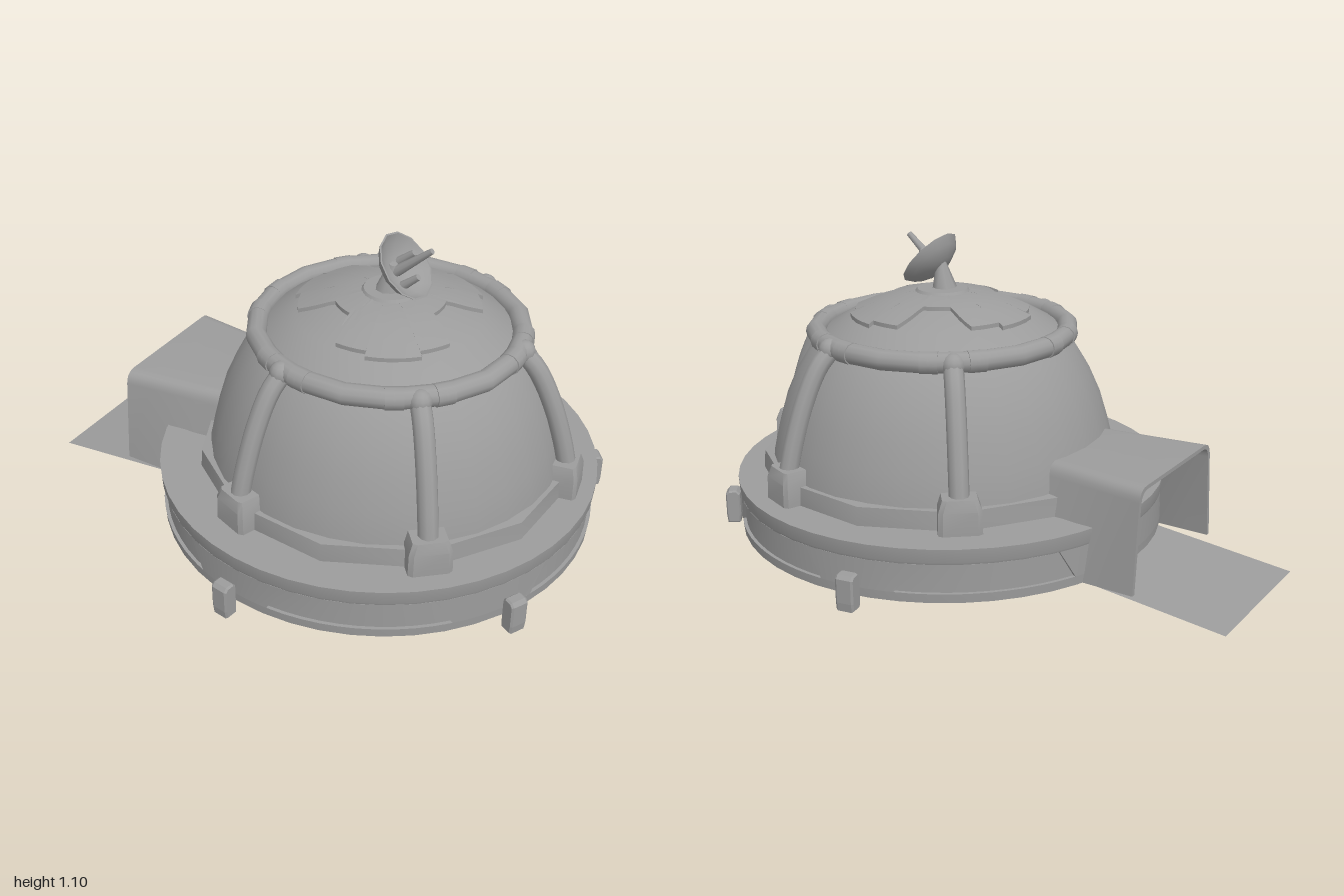
import * as THREE from 'three';
import { toCreasedNormals } from 'three/addons/utils/BufferGeometryUtils.js';

const grey = new THREE.MeshStandardMaterial({ color: 0x9c9c9c, side: THREE.DoubleSide });
const rad = THREE.MathUtils.degToRad, lerp = THREE.MathUtils.lerp;
const polar = (a, r, y) => [r * Math.cos(a), y, r * Math.sin(a)];

function add(parent, name, geometry, x = 0, y = 0, z = 0) {
  const mesh = new THREE.Mesh(geometry, grey);
  mesh.name = name;
  mesh.position.set(x, y, z);
  parent.add(mesh);
  return mesh;
}
const crease = (g, deg = 32) => toCreasedNormals(g, rad(deg));

// Grid surface from a rule f(i, j) that returns a point
function patch(nu, nv, f) {
  const pos = [], index = [];
  for (let i = 0; i <= nu; i++) for (let j = 0; j <= nv; j++) {
    pos.push(...f(i, j));
    if (i < nu && j < nv) {
      const k = i * (nv + 1) + j, m = k + nv + 1;
      index.push(k, k + 1, m, m, k + 1, m + 1);
    }
  }
  const g = new THREE.BufferGeometry();
  g.setAttribute('position', new THREE.Float32BufferAttribute(pos, 3));
  g.setIndex(index);
  return crease(g);
}
const lathe = (pts, n) => crease(new THREE.LatheGeometry(pts.map(p => new THREE.Vector2(...p)), n));

// Round platform with recessed trapezoid panels in its side
function buildBase() {
  const base = new THREE.Group();
  base.name = 'base';
  base.position.set(0.22, 0, -0.005);
  const R = 0.774, Y0 = 0.092, Y1 = 0.195, depth = 0.012;
  add(base, 'baseBottom', lathe([[0, 0.06], [R - 0.002, 0.06], [R, Y0]], 48));
  add(base, 'baseTop', lathe([[R, Y1], [R + 0.003, 0.203], [0.78, 0.25], [0, 0.25]], 48));
  const centres = [-134, -69, -1.5, 66, 132.5, 226];
  // half angle of a panel: wide at the bottom, narrow at the top
  const edge = (c, s, v) => rad(c + s * lerp(22.7, 18, v));
  for (let i = 0; i < 5; i++) {
    const c = centres[i], next = centres[i + 1], n = 10;
    const across = (u, v) => lerp(edge(c, -1, v), edge(c, 1, v), u);
    add(base, 'sidePanel', patch(n, 1, (a, b) => polar(across(a / n, b), R - depth, lerp(Y0, Y1, b))));
    add(base, 'sideWall', patch(n, 1, (a, b) =>
      polar(lerp(edge(c, 1, b), edge(next, -1, b), a / n), R, lerp(Y0, Y1, b))));
    for (const v of [0, 1])
      add(base, 'panelSill', patch(n, 1, (a, b) => polar(across(a / n, v), R - depth * b, v ? Y1 : Y0)));
    for (const s of [-1, 1])
      add(base, 'panelJamb', patch(1, 1, (a, b) => polar(edge(c, s, a), R - depth * b, a ? Y1 : Y0)));
  }
  // Small blocks standing just off the rim
  const s = new THREE.Shape();
  [[-0.018, 0.035], [0.018, 0.035], [0.021, 0.06], [0.021, 0.14], [0.012, 0.15], [-0.012, 0.15], [-0.021, 0.14], [-0.021, 0.06]]
    .forEach((p, i) => i ? s.lineTo(...p) : s.moveTo(...p));
  for (const deg of [-101, -36.5, 28.5, 99]) {
    const g = new THREE.ExtrudeGeometry(s, { depth: 0.05, bevelSize: 0.005, bevelThickness: 0.007, bevelSegments: 1 });
    g.translate(0, 0, -0.025);
    add(base, 'rimBlock', g, ...polar(rad(deg), 0.812, 0)).rotation.y = -rad(deg);
  }
  return base;
}

// Dome outline as radius and height
const profile = [[0.63, 0.25], [0.62, 0.34], [0.6, 0.42], [0.57, 0.52], [0.53, 0.61], [0.475, 0.7], [0.41, 0.77],
  [0.32, 0.82], [0.21, 0.862], [0.1, 0.884], [0, 0.886]];
function domeY(r) {
  const k = profile.findIndex(p => p[0] <= r), [r1, y1] = profile[k], [r0, y0] = profile[Math.max(k - 1, 0)];
  return r0 === r1 ? y1 : lerp(y0, y1, (r - r0) / (r1 - r0));
}

function buildDome() {
  const dome = new THREE.Group();
  dome.name = 'dome';
  dome.position.set(0.25, 0, -0.01);
  add(dome, 'domeShell', lathe(profile, 32));
  add(dome, 'skirt', lathe([[0.662, 0.25], [0.657, 0.315], [0.59, 0.32]], 12)).rotation.y = rad(10);

  // Raised cap with three notches and three tabs
  const third = [[0, 0.19], [14, 0.19], [24, 0.31], [44, 0.31], [44, 0.33], [76, 0.33], [76, 0.31], [96, 0.31], [106, 0.19], [120, 0.19]];
  const rim = [];
  for (let t = 0; t < 3; t++) third.forEach(([d, r], i) => {
    const [d1, r1] = third[Math.min(i + 1, 9)];
    for (let k = 0; k < 4; k++) rim.push([rad(120 * t + lerp(d, d1, k / 4)), lerp(r, r1, k / 4)]);
  });
  const lift = 0.014;
  add(dome, 'capPlate', patch(rim.length - 1, 6, (i, j) => {
    const [a, R] = rim[i], r = R * Math.min(j / 5, 1);
    return polar(a, r, domeY(r) + (j === 6 ? -0.01 : lift));
  }));
  add(dome, 'capDisc', new THREE.CylinderGeometry(0.09, 0.105, 0.02, 24), 0, 0.895, 0);

  // Pipe ring with collars
  const ringR = 0.453, ringY = 0.759;
  add(dome, 'pipeRing', new THREE.TorusGeometry(ringR, 0.036, 12, 18), 0, ringY, 0).rotation.x = Math.PI / 2;
  const path = new THREE.CatmullRomCurve3([[0.645, 0.34], [0.62, 0.44], [0.568, 0.59], [0.51, 0.7], [0.45, ringY]]
    .map(p => new THREE.Vector3(...p, 0)));
  for (let k = 0; k < 6; k++) {
    const deg = -130 + 60 * k;
    for (const off of [-10, 10]) {
      const a = rad(deg + off);
      add(dome, 'ringCollar', new THREE.CylinderGeometry(0.038, 0.038, 0.06, 12), ...polar(a, ringR - 0.003, ringY))
        .rotation.set(Math.PI / 2, 0, a);
    }
    if (k === 5) continue; // the entrance takes the place of the sixth strut
    const strut = new THREE.Group();
    strut.name = 'strut';
    strut.rotation.y = -rad(deg);
    dome.add(strut);
    add(strut, 'strutPipe', new THREE.TubeGeometry(path, 14, 0.034, 10));
    add(strut, 'strutJoint', new THREE.SphereGeometry(0.04, 12, 8), ringR + 0.01, ringY - 0.005, 0);
    // Foot block narrowing at the top
    const foot = (w, y) => [[-0.06, -w], [0.05 * w / 0.07, -w], [0.06 * w / 0.07, -w + 0.015], [0.06 * w / 0.07, w - 0.015],
      [0.05 * w / 0.07, w], [-0.06, w], [-0.06, -w]].map(([x, z]) => [0.635 + x, y, z]);
    const rows = [foot(0.073, 0.25), foot(0.071, 0.33), foot(0.058, 0.368), foot(0.002, 0.368)];
    add(strut, 'strutFoot', patch(3, 6, (i, j) => rows[i][j]));
  }
  return dome;
}

// Tapered entrance hall with a ramp
function buildEntrance() {
  const entrance = new THREE.Group();
  entrance.name = 'entrance';
  const arch = (path, b, t, h, c, sign, start) => {
    const p = [[-b, 0.06], [-t - 0.005, h - c], [-t, h], [-t + c, h], [t - c, h], [t, h], [t + 0.005, h - c], [b, 0.06]];
    if (sign < 0) p.reverse();
    path[start](...p[0]);
    path.lineTo(...p[1]);
    path.quadraticCurveTo(...p[2], ...p[3]);
    path.lineTo(...p[4]);
    path.quadraticCurveTo(...p[5], ...p[6]);
    path.lineTo(...p[7]);
  };
  const s = new THREE.Shape(), len = 0.38;
  arch(s, 0.293, 0.26, 0.42, 0.045, 1, 'moveTo');
  arch(s, 0.278, 0.246, 0.406, 0.038, -1, 'lineTo');
  const g = new THREE.ExtrudeGeometry(s, { depth: len, bevelEnabled: false, steps: 4, curveSegments: 5 });
  const p = g.attributes.position;
  for (let i = 0; i < p.count; i++)
    p.setX(i, p.getX(i) * (1 - 0.2 * (p.getZ(i) / len) * (p.getY(i) - 0.06) / 0.36));
  add(entrance, 'hall', crease(g), -0.684, 0, 0.012).rotation.y = Math.PI / 2;
  // the ramp runs on through the hall until it meets the platform's underside
  add(entrance, 'ramp', patch(1, 1, (i, j) => [i ? -0.37 : -1, i ? 0.06 : 0, j ? 0.293 : -0.253]));
  return entrance;
}

// Tilted dish on a tapered post
function buildAntenna() {
  const antenna = new THREE.Group();
  antenna.name = 'antenna';
  antenna.position.set(0.25, 0.9, 0);
  const post = new THREE.CylinderGeometry(0.016, 0.045, 0.1, 8);
  add(antenna, 'post', post, 0.005, 0.05, 0).rotation.z = -0.15;
  const dish = new THREE.Group();
  dish.name = 'dish';
  dish.position.set(0.025, 0.075, 0);
  dish.rotation.z = -rad(50);
  antenna.add(dish);
  add(dish, 'bowl', lathe([[0, -0.014], [0.055, -0.007], [0.1, 0.018], [0.122, 0.047], [0.116, 0.048], [0.094, 0.024], [0.05, 0.002], [0, -0.004]], 12));
  add(dish, 'feedRod', new THREE.CylinderGeometry(0.01, 0.019, 0.17, 8), 0, 0.08, 0);
  for (const [x, z] of [[-0.02, -0.04], [0.05, 0.015]])
    add(dish, 'feedStub', new THREE.CylinderGeometry(0.011, 0.016, 0.075, 8), x, 0.036, z);
  return antenna;
}

export function createModel() {
  const model = new THREE.Group();
  model.name = 'domeStation';
  model.add(buildBase(), buildDome(), buildEntrance(), buildAntenna());
  return model;
}
